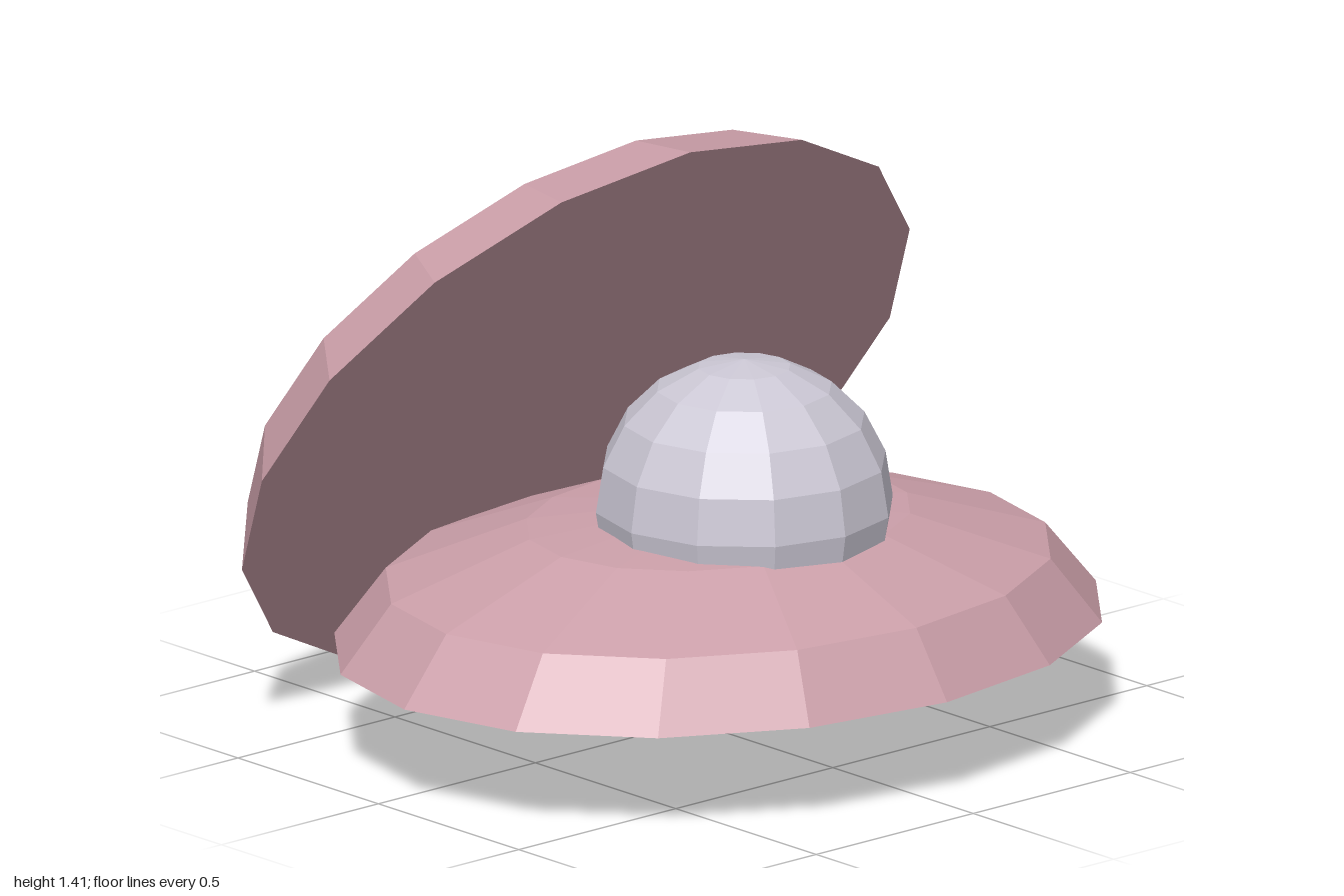
import * as THREE from 'three';

export function createModel() {
  const model = new THREE.Group();
  model.name = 'clam';

  const pink = new THREE.MeshStandardMaterial({ color: 0xcb9fa9, flatShading: true });
  pink.name = 'shellPink';
  const pearlGrey = new THREE.MeshStandardMaterial({ color: 0xcbc7d4, flatShading: true });
  pearlGrey.name = 'pearlGrey';

  // Faceted half dome closed by a flat disc
  const domeGeometry = new THREE.SphereGeometry(1, 16, 3, 0, Math.PI * 2, 0, Math.PI / 2);
  const discGeometry = new THREE.CircleGeometry(1, 16).rotateX(Math.PI / 2);

  function addShell(name, y, z, tilt) {
    const shell = new THREE.Group();
    shell.name = name;
    const dome = new THREE.Mesh(domeGeometry, pink);
    dome.name = name + 'Dome';
    const disc = new THREE.Mesh(discGeometry, pink);
    disc.name = name + 'FlatFace';
    shell.add(dome, disc);
    shell.scale.set(1, 0.32, 0.815);
    shell.rotation.x = tilt;
    shell.position.set(0, y, z);
    model.add(shell);
  }

  addShell('lowerShell', 0.257, 0.092, 0);
  addShell('upperShell', 0.708, -0.415, -Math.PI / 3);

  // Pearl sunk into the lower shell, just breaking through its underside
  const pearl = new THREE.Mesh(new THREE.SphereGeometry(0.36, 12, 10), pearlGrey);
  pearl.name = 'pearl';
  pearl.position.set(0, 0.585, 0.185);
  model.add(pearl);

  return model;
}
